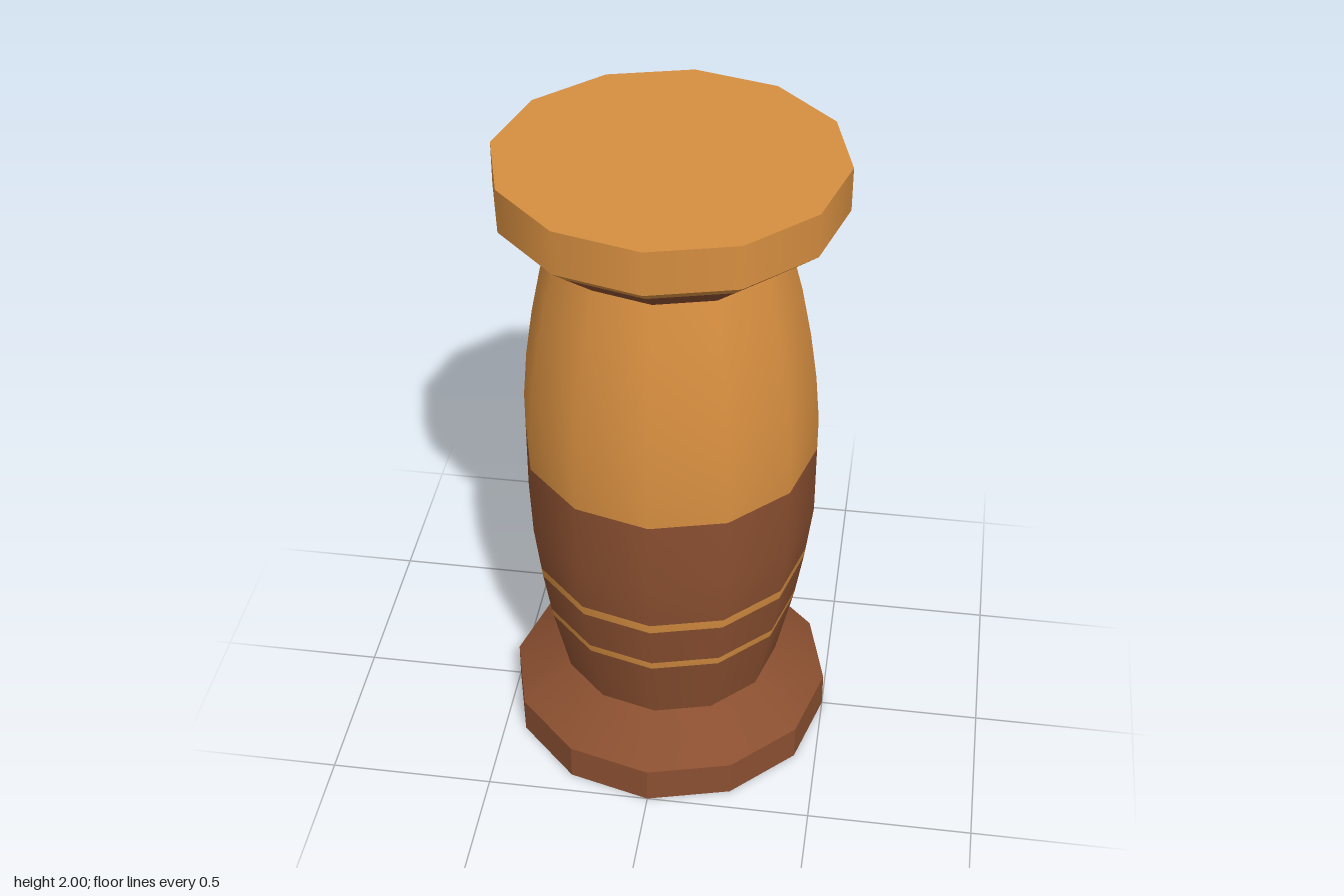
import * as THREE from 'three';

const SIDES = 12;

export function createModel() {
  const model = new THREE.Group();
  const tan = new THREE.MeshStandardMaterial({ color: 0xd68e40 });
  tan.name = 'light wood';
  const brown = new THREE.MeshStandardMaterial({ color: 0x8a4f30 });
  brown.name = 'dark wood';

  const add = (name, geometry, material) => {
    const mesh = new THREE.Mesh(geometry, material);
    mesh.name = name;
    model.add(mesh);
    return mesh;
  };
  // Profiles are [radius, height] pairs, from bottom to top.
  const lathe = (profile) =>
    new THREE.LatheGeometry(profile.map(([r, y]) => new THREE.Vector2(r, y)), SIDES);
  const disc = (name, y, tilt, material) => {
    const mesh = add(name, new THREE.CircleGeometry(0.5, SIDES), material);
    mesh.rotation.x = tilt;
    mesh.position.y = y;
  };

  // Foot: faceted rim and a smooth sloping shoulder
  const rim = lathe([[0.5, 0], [0.5, 0.115]]).toNonIndexed();
  rim.computeVertexNormals();
  add('footRim', rim, brown);
  add('footShoulder', lathe([[0.5, 0.115], [0.34, 0.225]]), brown);
  disc('footUnderside', 0, Math.PI / 2, brown);

  // Bulging body: one smooth surface, coloured by height
  const body = lathe([
    [0.34, 0.225], [0.39, 0.45], [0.395, 0.477], [0.418, 0.62], [0.422, 0.652],
    [0.441, 0.81], [0.441, 1.04], [0.441, 1.15], [0.428, 1.3], [0.406, 1.45],
    [0.376, 1.6], [0.34, 1.735],
  ]);
  const rowColours = [0, 1, 0, 1, 0, 0, 1, 1, 1, 1, 1];
  for (let side = 0; side < SIDES; side++) {
    rowColours.forEach((colour, row) =>
      body.addGroup((side * rowColours.length + row) * 6, 6, colour));
  }
  add('body', body, [brown, tan]);

  // Cap: dark flared neck, light lip, rim and top
  add('capNeck', lathe([[0.34, 1.735], [0.45, 1.826]]), brown);
  add('capLip', lathe([[0.45, 1.826], [0.5, 1.868]]), tan);
  add('capRim', lathe([[0.5, 1.868], [0.5, 2]]), tan);
  disc('capTop', 2, -Math.PI / 2, tan);

  return model;
}
